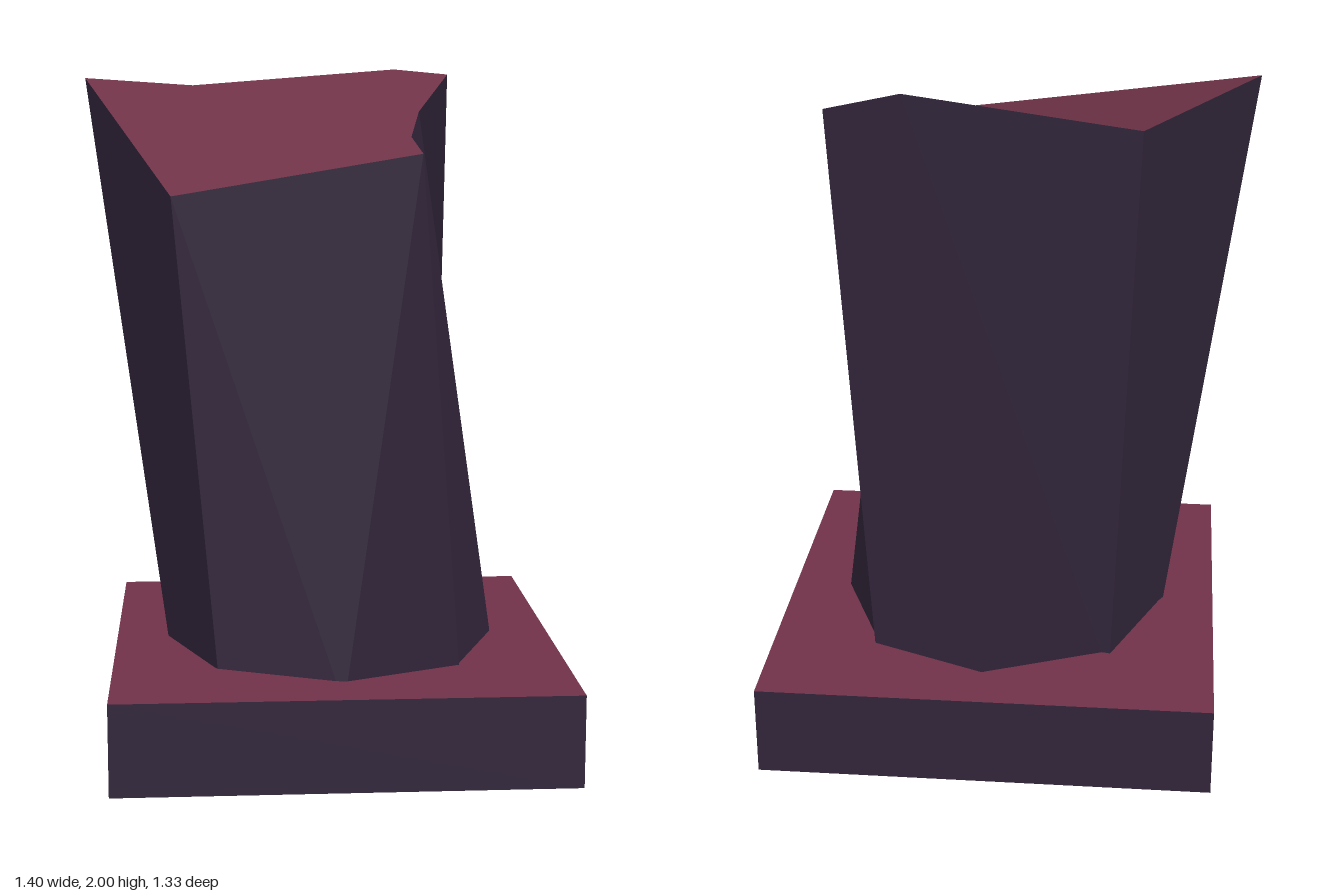
import * as THREE from 'three';

const V = (x, y, z) => new THREE.Vector3(x, y, z);

// One flat face made of fanned polygons that share a single averaged normal
function addFace(out, polygons) {
  const normal = V(0, 0, 0);
  const points = [];
  for (const p of polygons) {
    for (let i = 1; i < p.length - 1; i++) {
      const a = p[i].clone().sub(p[0]);
      const b = p[i + 1].clone().sub(p[0]);
      normal.add(a.cross(b));
      points.push(p[0], p[i], p[i + 1]);
    }
  }
  normal.normalize();
  for (const p of points) {
    out.position.push(p.x, p.y, p.z);
    out.normal.push(normal.x, normal.y, normal.z);
  }
}

function faceMesh(name, faces, material) {
  const out = { position: [], normal: [] };
  faces.forEach((polygons) => addFace(out, polygons));
  const g = new THREE.BufferGeometry();
  g.setAttribute('position', new THREE.Float32BufferAttribute(out.position, 3));
  g.setAttribute('normal', new THREE.Float32BufferAttribute(out.normal, 3));
  const mesh = new THREE.Mesh(g, material);
  mesh.name = name;
  return mesh;
}

// Open band of walls between two rings
function walls(bottom, top) {
  return bottom.map((b, k) => {
    const n = (k + 1) % bottom.length;
    return [[b, top[k], top[n], bottom[n]]];
  });
}

export function createModel() {
  const stone = new THREE.MeshStandardMaterial({ color: 0x31253a, side: THREE.DoubleSide });
  stone.name = 'dark violet stone';
  const red = new THREE.MeshStandardMaterial({ color: 0x703248, side: THREE.DoubleSide });
  red.name = 'dull crimson';

  const group = new THREE.Group();
  group.name = 'brokenPillar';
  const cx = 0.035;

  // Square plinth, open underneath
  const h = 0.665;
  const square = (y) => [[1, 1], [-1, 1], [-1, -1], [1, -1]].map(([x, z]) => V(cx + x * h, y, z * h));
  const plinthTop = square(0.27);
  group.add(faceMesh('plinthWalls', walls(square(0), plinthTop), stone));
  group.add(faceMesh('plinthTop', [[plinthTop.slice().reverse()]], red));

  // Octagonal shaft, sunk slightly through the plinth, with a crooked rim
  const foot = Array.from({ length: 8 }, (_, k) => {
    const a = (k * Math.PI) / 4;
    return V(cx + 0.5 * Math.cos(a), 0.2, 0.5 * Math.sin(a));
  });
  const rim = [
    [0.305, 1.87, -0.13], [0.255, 1.8, 0.13], [0.26, 1.76, 0.4], [-0.445, 1.64, 0.33],
    [-0.7, 1.97, -0.055], [-0.385, 1.95, -0.595], [0.26, 2.0, -0.465], [0.447, 1.985, -0.58],
  ].map((p) => V(...p));
  group.add(faceMesh('shaft', walls(foot, rim), stone));

  // Broken top surface
  const pick = (...ids) => ids.map((i) => rim[i]);
  group.add(faceMesh('brokenTop', [[pick(1, 0, 6, 5, 4, 3, 2), pick(0, 7, 6)]], red));

  return group;
}
